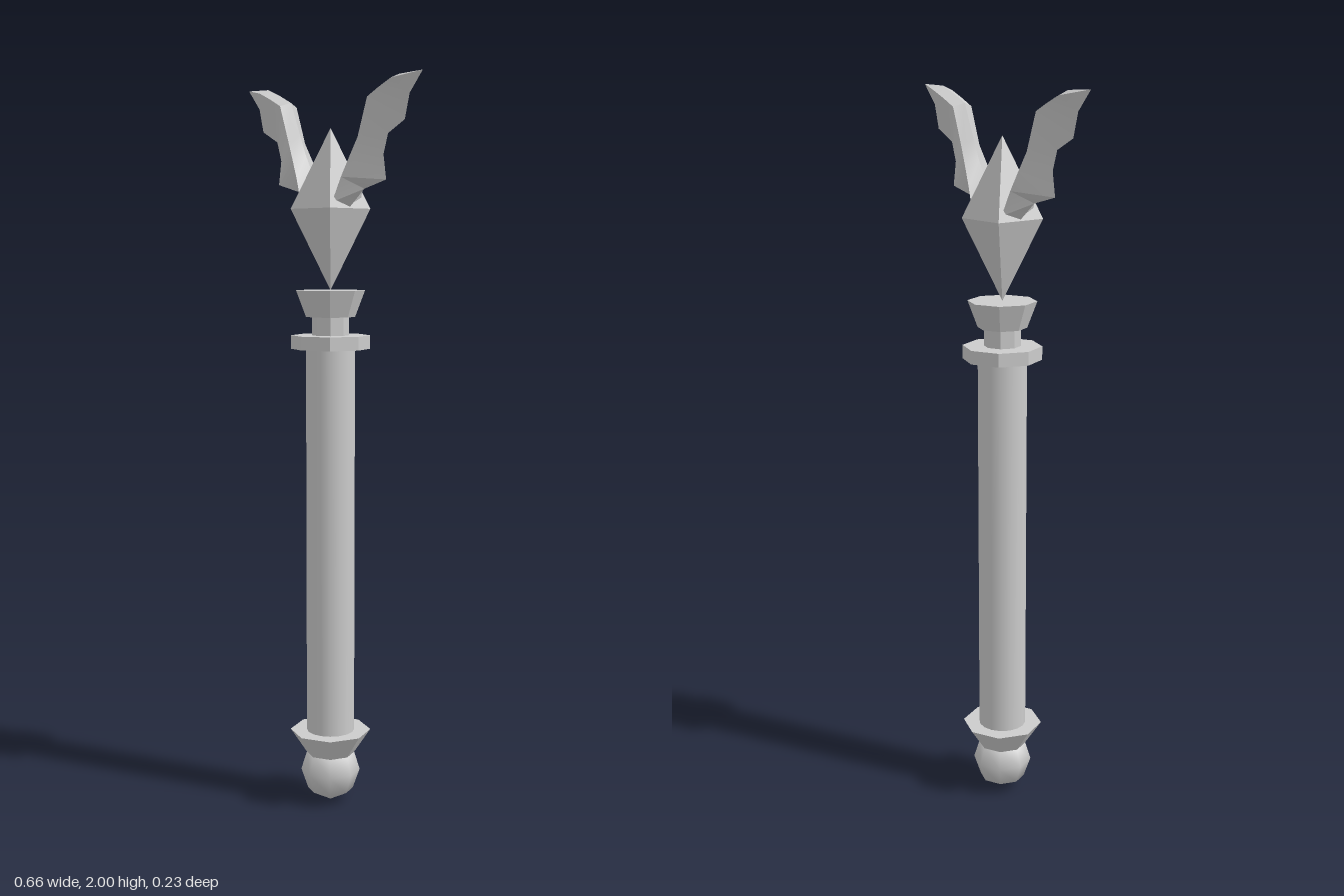
import * as THREE from 'three';
import { toCreasedNormals } from 'three/addons/utils/BufferGeometryUtils.js';

const smooth = new THREE.MeshStandardMaterial({ color: 0xcccccc });
const flat = new THREE.MeshStandardMaterial({ color: 0xcccccc, flatShading: true });

function add(group, name, geometry, material) {
  const mesh = new THREE.Mesh(geometry, material);
  mesh.name = name;
  group.add(mesh);
  return mesh;
}

// Cylinder or cone section standing between two heights
function drum(y0, y1, r0, r1, sides = 8) {
  return new THREE.CylinderGeometry(r1, r0, y1 - y0, sides).translate(0, (y0 + y1) / 2, 0);
}

// Bat-like wing: diamond sections from tip to root.
// Each row: ridge x, y | side x, y, half thickness | lower scalloped edge x, y
function wingGeometry() {
  const rows = [
    [0.33, 2.0, 0.33, 2.0, 0, 0.33, 2.0],
    [0.249, 1.997, 0.249, 1.985, 0.031, 0.286, 1.947],
    [0.2, 1.977, 0.205, 1.965, 0.031, 0.27, 1.883],
    [0.155, 1.955, 0.166, 1.945, 0.031, 0.212, 1.852],
    [0.12, 1.868, 0.132, 1.845, 0.031, 0.196, 1.8],
    [0.097, 1.812, 0.108, 1.795, 0.038, 0.206, 1.735],
    [0.072, 1.765, 0.085, 1.745, 0.045, 0.127, 1.714],
    [0.047, 1.725, 0.06, 1.68, 0.053, 0.07, 1.665],
  ];
  const positions = [];
  const index = [];
  rows.forEach(([rx, ry, sx, sy, t, lx, ly], i) => {
    positions.push(rx, ry, 0, sx, sy, t, lx, ly, 0, sx, sy, -t);
    if (i === 0) return;
    const a = (i - 1) * 4, b = i * 4;
    for (let k = 0; k < 4; k++) {
      const n = (k + 1) % 4;
      if (i > 1) index.push(a + k, b + k, a + n);
      index.push(a + n, b + k, b + n);
    }
  });
  // Root cap
  const e = (rows.length - 1) * 4;
  index.push(e, e + 3, e + 2, e, e + 2, e + 1);
  const geometry = new THREE.BufferGeometry();
  geometry.setAttribute('position', new THREE.Float32BufferAttribute(positions, 3));
  geometry.setIndex(index);
  return toCreasedNormals(geometry, 0.6);
}

export function createModel() {
  const model = new THREE.Group();
  model.name = 'sceptre';

  // Pommel ball
  const ball = [[0, 0], [0.064, 0.035], [0.083, 0.09], [0.066, 0.145], [0, 0.18]]
    .map(([r, y]) => new THREE.Vector2(r, y));
  add(model, 'pommel', new THREE.LatheGeometry(ball, 8), smooth);

  // Handle and its collars
  add(model, 'lowerCollar', drum(0.14, 0.208, 0.067, 0.113), flat);
  add(model, 'shaft', drum(0.19, 1.3, 0.067, 0.067, 16), smooth);
  add(model, 'guardRing', drum(1.288, 1.325, 0.108, 0.108), flat);
  add(model, 'neck', drum(1.32, 1.385, 0.05, 0.05), flat);
  add(model, 'crown', drum(1.375, 1.447, 0.067, 0.094), flat);

  // Four-sided crystal, its square waist aligned with the axes
  const crystal = new THREE.Group();
  crystal.name = 'crystal';
  const waist = 0.076 * Math.SQRT2;
  [['crystalTop', 1.665, 1.878, waist, 0], ['crystalBottom', 1.447, 1.665, 0, waist]]
    .forEach(([name, y0, y1, r0, r1]) => {
      const half = new THREE.CylinderGeometry(r1, r0, y1 - y0, 4, 1, true);
      half.rotateY(Math.PI / 4).translate(0, (y0 + y1) / 2, 0);
      add(crystal, name, half, flat);
    });
  model.add(crystal);

  // Pair of wings
  const wing = wingGeometry();
  add(model, 'leftWing', wing, smooth);
  add(model, 'rightWing', wing, smooth).rotation.y = Math.PI;

  return model;
}
